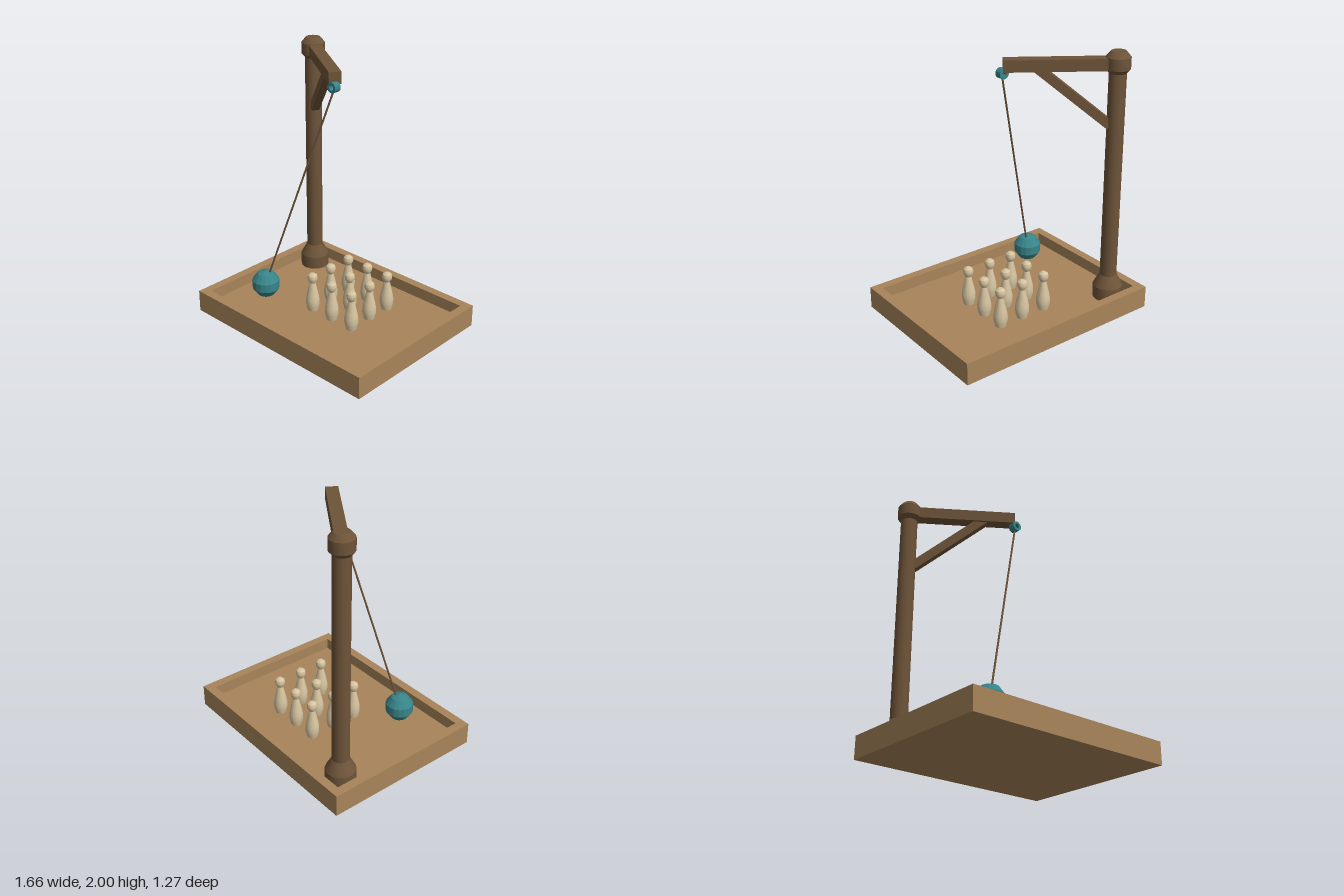
import * as THREE from 'three';
import { toCreasedNormals } from 'three/addons/utils/BufferGeometryUtils.js';

const mat = (name, color) => {
  const m = new THREE.MeshStandardMaterial({ color });
  m.name = name;
  return m;
};

export function createModel() {
  const model = new THREE.Group();
  model.name = 'tableSkittles';
  const trayWood = mat('light wood', 0xa8855a);
  const postWood = mat('dark wood', 0x6e5439);
  const teal = mat('teal', 0x37858a);
  const cream = mat('cream', 0xd6c4a0);

  const add = (name, geo, material, x = 0, y = 0, z = 0, parent = model) => {
    const mesh = new THREE.Mesh(geo, material);
    mesh.name = name;
    mesh.position.set(x, y, z);
    parent.add(mesh);
    return mesh;
  };
  const turned = (points, sides) => toCreasedNormals(
    new THREE.LatheGeometry(points.map(([r, y]) => new THREE.Vector2(r, y)), sides), 0.45);

  // Tray: floor and a raised rim
  const floorY = 0.08, W = 0.83, D = 0.635, w = 0.762, d = 0.567;
  const rim = new THREE.Shape([[-W, -D], [W, -D], [W, D], [-W, D]].map(p => new THREE.Vector2(...p)));
  rim.holes.push(new THREE.Path([[-w, -d], [-w, d], [w, d], [w, -d]].map(p => new THREE.Vector2(...p))));
  const rimGeo = new THREE.ExtrudeGeometry(rim, { depth: 0.17, bevelEnabled: false });
  rimGeo.rotateX(-Math.PI / 2);
  add('trayRim', rimGeo, trayWood);
  add('trayFloor', new THREE.BoxGeometry(2 * w, floorY, 2 * d), trayWood, 0, floorY / 2, 0);

  // Post with flared foot and chamfered cap
  const px = -0.625, pz = -0.43;
  add('post', turned([
    [0, floorY], [0.112, floorY], [0.112, 0.18], [0.063, 0.27], [0.063, 1.845],
    [0.089, 1.875], [0.089, 1.96], [0.055, 2], [0, 2],
  ], 16), postWood, px, 0, pz);

  // Arm and diagonal brace, built along +x and turned toward the tray centre
  const arm = new THREE.Group();
  arm.name = 'armAssembly';
  arm.position.set(px, 0, pz);
  arm.rotation.y = -Math.atan2(0.45, 0.655);
  model.add(arm);
  add('arm', new THREE.BoxGeometry(0.795, 0.086, 0.09), postWood, 0.3975, 1.912, 0, arm);
  const brace = add('brace', new THREE.BoxGeometry(0.68, 0.066, 0.06), postWood, 0.305, 1.68, 0, arm);
  brace.rotation.z = Math.atan2(0.41, 0.5);

  // Hanging ring
  const ring = new THREE.Shape().absarc(0, 0, 0.038, 0, Math.PI * 2, false);
  ring.holes.push(new THREE.Path().absarc(0, 0, 0.019, 0, Math.PI * 2, true));
  const ringGeo = new THREE.ExtrudeGeometry(ring, { depth: 0.054, bevelEnabled: false, curveSegments: 14 });
  add('ring', toCreasedNormals(ringGeo, 0.6), teal, 0.028, 1.85, 0.004);

  // Cord from the ring to the ball
  const top = new THREE.Vector3(0.028, 1.83, 0.031);
  const ballPos = new THREE.Vector3(-0.428, 0.262, 0.302);
  const along = top.clone().sub(ballPos);
  const cord = add('cord', new THREE.CylinderGeometry(0.007, 0.007, along.length(), 8), postWood);
  cord.position.copy(top).add(ballPos).multiplyScalar(0.5);
  cord.quaternion.setFromUnitVectors(new THREE.Vector3(0, 1, 0), along.normalize());

  // Faceted ball
  add('ball', toCreasedNormals(new THREE.SphereGeometry(0.108, 16, 5), 0.1), teal, ...ballPos.toArray());

  // Nine pins in a square
  const pinGeo = turned([
    [0, 0], [0.04, 0], [0.052, 0.05], [0.052, 0.09], [0.044, 0.135], [0.028, 0.205],
    [0.023, 0.232], [0.036, 0.255], [0.039, 0.275], [0.034, 0.295], [0.018, 0.308], [0, 0.312],
  ], 14);
  const pins = new THREE.Group();
  pins.name = 'pins';
  model.add(pins);
  for (const x of [-0.112, 0.086, 0.284]) {
    for (const z of [-0.28, -0.082, 0.116]) add('pin', pinGeo, cream, x, floorY, z, pins);
  }
  return model;
}
